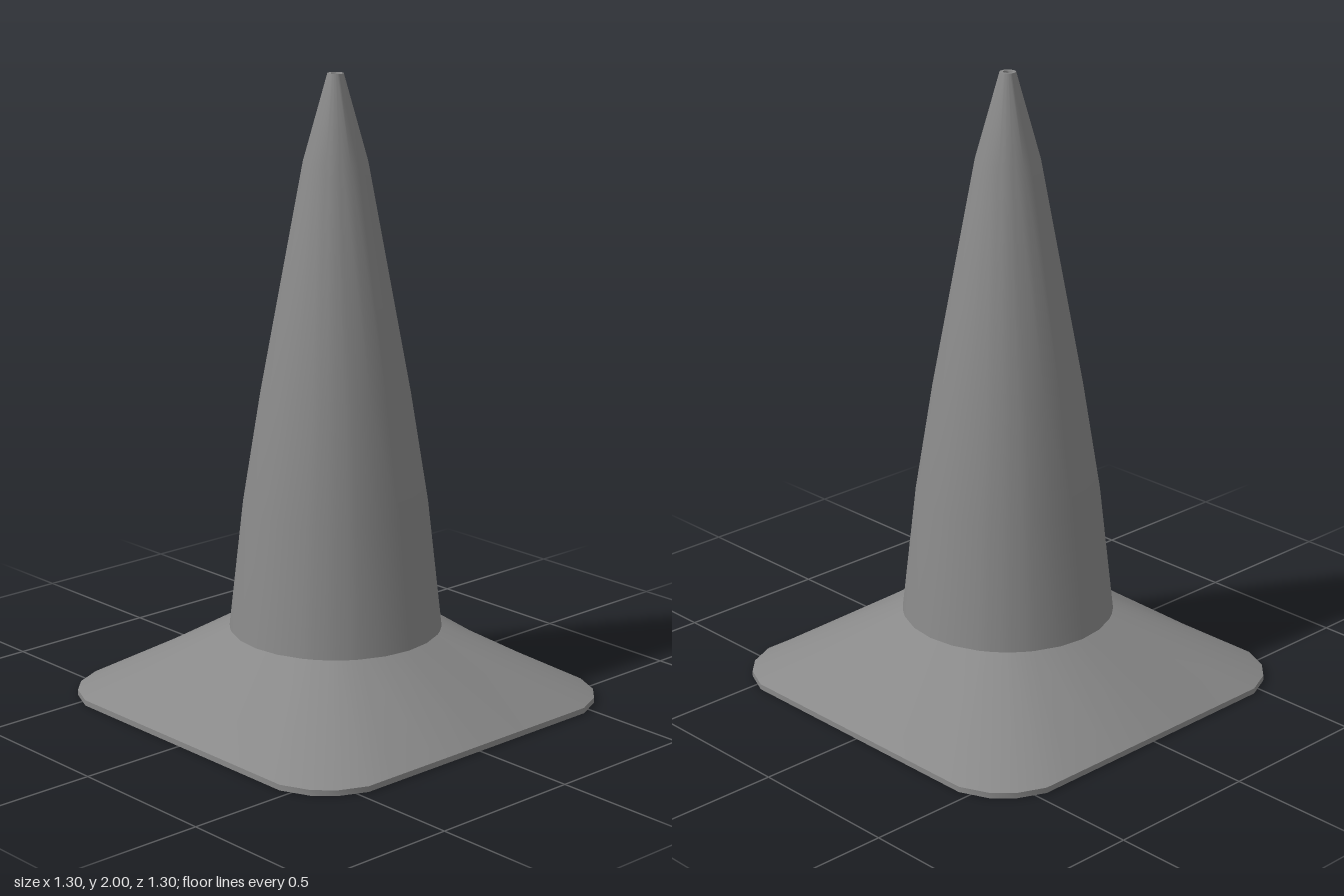
import * as THREE from 'three';
import { toCreasedNormals } from 'three/addons/utils/BufferGeometryUtils.js';

const material = new THREE.MeshStandardMaterial({ color: 0x898989 });

// Directions shared by all rings: 15 degree steps plus the bevelled skirt corners
const corner = [[0.65, 0.465], [0.61, 0.555], [0.555, 0.61], [0.465, 0.65]];
const angles = [];
for (let q = 0; q < 4; q++) {
  const quarter = corner.map(([x, z]) => Math.atan2(z, x));
  for (const deg of [0, 15, 30, 45, 60, 75]) quarter.push(THREE.MathUtils.degToRad(deg));
  quarter.sort((a, b) => a - b).forEach(a => angles.push(a + q * Math.PI / 2));
}

// Distance from the axis to the square outline with bevelled corners
function squareRadius(a) {
  const c = Math.abs(Math.cos(a)), s = Math.abs(Math.sin(a));
  let best = 0.65 / Math.max(c, s);
  for (let i = 0; i < 3; i++) {
    const [x0, z0] = corner[i], [x1, z1] = corner[i + 1];
    const nx = z1 - z0, nz = x0 - x1;
    best = Math.min(best, (nx * x0 + nz * z0) / (nx * c + nz * s));
  }
  return best;
}

const round = (r, y) => [() => r, y];
const square = (inset, y) => [a => squareRadius(a) - inset, y];

// Joins rings of [radius function, height] into one skin, smooth except at sharp folds
function loft(name, rings) {
  const pos = [], index = [], n = angles.length;
  rings.forEach(([radius, y], k) => {
    for (const a of angles) pos.push(radius(a) * Math.cos(a), y, radius(a) * Math.sin(a));
    if (k === 0) return;
    const top = (k - 1) * n, low = k * n;
    for (let i = 0; i < n; i++) {
      const j = (i + 1) % n;
      index.push(top + i, top + j, low + i, top + j, low + j, low + i);
    }
  });
  const g = new THREE.BufferGeometry();
  g.setAttribute('position', new THREE.Float32BufferAttribute(pos, 3));
  g.setIndex(index);
  const mesh = new THREE.Mesh(toCreasedNormals(g, 0.7), material);
  mesh.name = name;
  return mesh;
}

export function createModel() {
  const group = new THREE.Group();
  group.name = 'trafficCone';

  // Tapering body, from the tip down
  const body = [[0.025, 2], [0.1, 1.73], [0.235, 1], [0.291, 0.65], [0.337, 0.24]];
  const outside = body.map(([r, y]) => round(r, y));
  const inside = body.map(([r, y], i) => round(r - 0.009, i ? y - 0.01 : 1.98)).reverse();

  group.add(loft('coneShell', [
    // dimple in the blunt tip
    round(0.0005, 1.985), round(0.014, 1.985), round(0.015, 2),
    ...outside,
    // flared square skirt: rim, lip and hollow underside
    square(0, 0.018), square(0, 0), square(0.012, 0),
    ...inside,
    // closed end of the hollow
    round(0.0005, 1.98),
  ]));
  return group;
}
